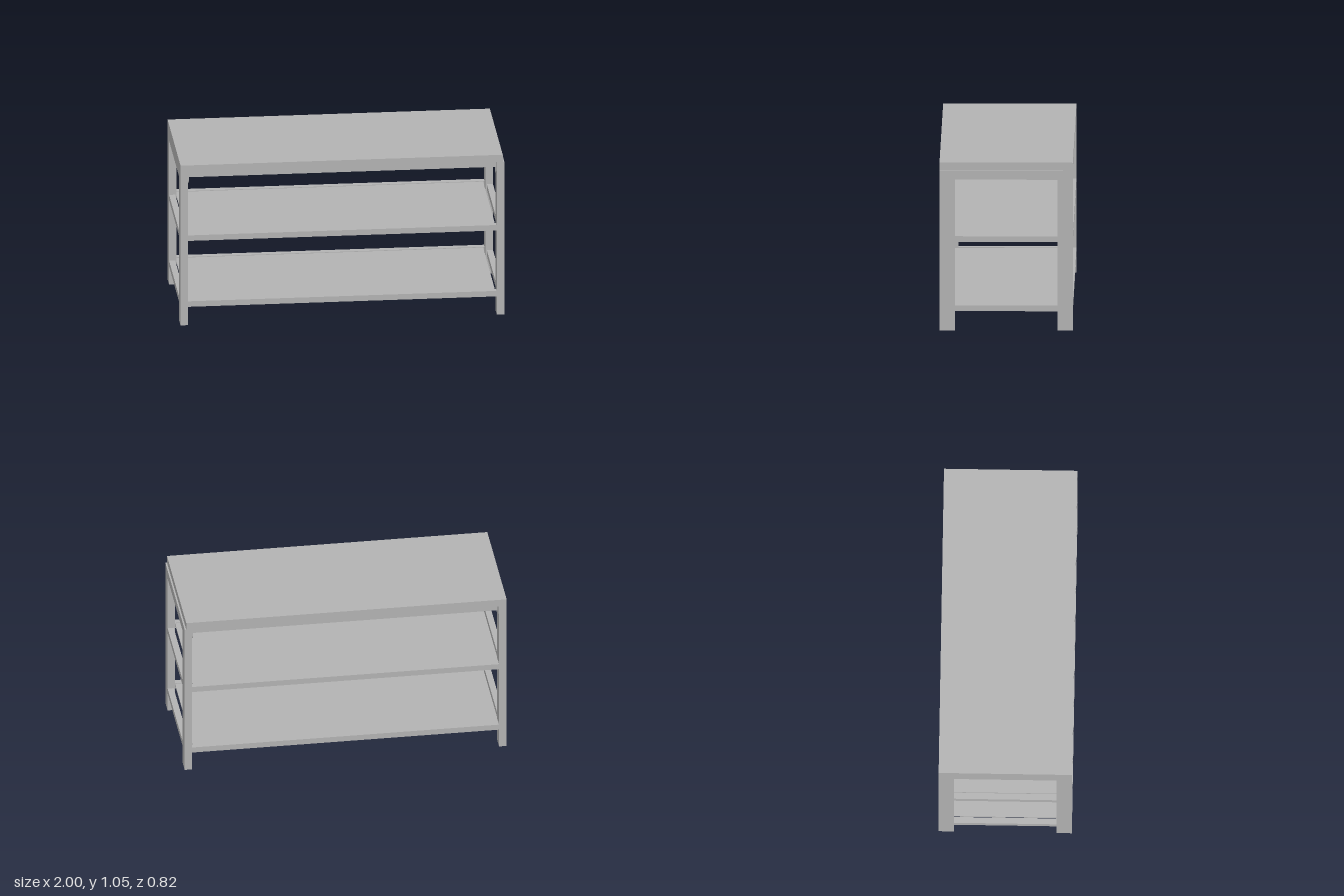
import * as THREE from 'three';

export function createModel() {
  const model = new THREE.Group();
  model.name = 'shelvedTable';
  const grey = new THREE.MeshStandardMaterial({ color: 0xb2b2b2 });
  grey.name = 'grey metal';

  // Box given by its limits on each axis
  function box(name, x0, x1, y0, y1, z0, z1) {
    const mesh = new THREE.Mesh(new THREE.BoxGeometry(x1 - x0, y1 - y0, z1 - z0), grey);
    mesh.position.set((x0 + x1) / 2, (y0 + y1) / 2, (z0 + z1) / 2);
    mesh.name = name;
    model.add(mesh);
  }
  // The same box on the positive and negative side of an axis
  function pairX(name, x0, x1, ...yz) {
    box(name, x0, x1, ...yz);
    box(name, -x1, -x0, ...yz);
  }
  function pairZ(name, x0, x1, y0, y1, z0, z1) {
    box(name, x0, x1, y0, y1, z0, z1);
    box(name, x0, x1, y0, y1, -z1, -z0);
  }

  // Table top, a little short at the left end
  box('tableTop', -1, 0.99, 1, 1.047, -0.41, 0.41);

  // Legs and the aprons joining them
  for (const s of [-1, 1]) {
    const z = s * 0.3625;
    pairX('leg', 0.953, 1, 0, 1, z - 0.0475, z + 0.0475);
  }
  pairX('endApron', 0.953, 1, 0.942, 1, -0.315, 0.315);
  pairZ('longApron', -0.953, 0.953, 0.962, 1, 0.35, 0.39);

  // Two shelves: a frame of rails around a recessed panel
  for (const y of [0.12, 0.552]) {
    const top = y + 0.036;
    pairX('shelfEndRail', 0.962, 1, y, top, -0.315, 0.315);
    pairZ('shelfLongRail', -0.953, 0.953, y, top, 0.372, 0.41);
    box('shelfPanel', -0.955, 0.945, top - 0.014, top - 0.004, -0.372, 0.372);
  }

  // Rounded fixing tabs on the inside of the legs
  const tab = new THREE.Shape();
  tab.moveTo(-0.025, 1);
  tab.lineTo(-0.025, 0.945);
  tab.absarc(0, 0.945, 0.025, Math.PI, Math.PI * 2, false);
  tab.lineTo(0.025, 1);
  const tabGeometry = new THREE.ExtrudeGeometry(tab, { depth: 0.006, bevelEnabled: false, curveSegments: 8 });
  tabGeometry.translate(0, 0, -0.003).rotateY(Math.PI / 2);
  for (const x of [-0.95, 0.95]) {
    for (const z of [-0.37, 0.37]) {
      const mesh = new THREE.Mesh(tabGeometry, grey);
      mesh.position.set(x, 0, z);
      mesh.name = 'fixingTab';
      model.add(mesh);
    }
  }
  return model;
}
